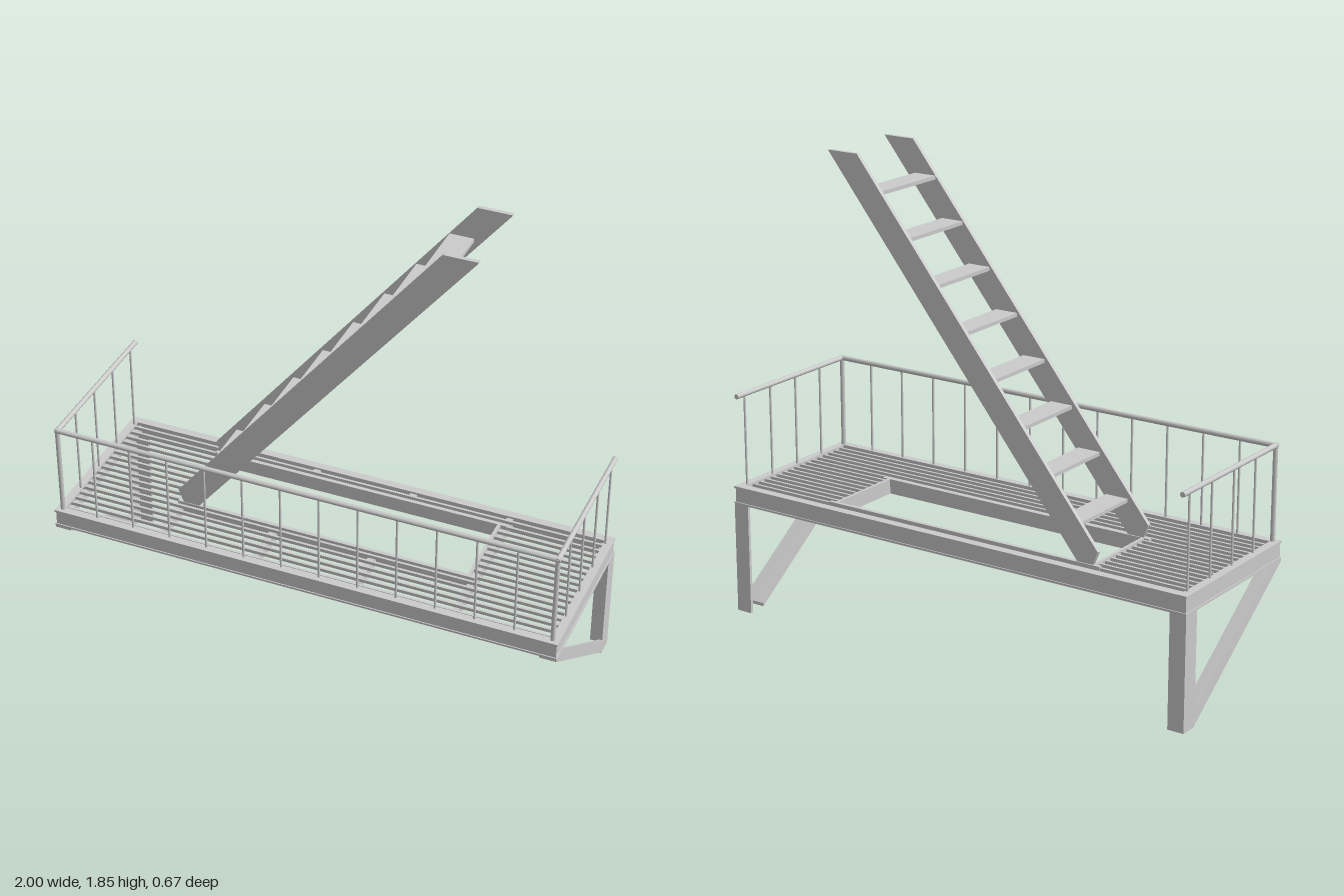
import * as THREE from 'three';

const mat = new THREE.MeshStandardMaterial({ color: 0xcccccc, flatShading: true });
const smooth = new THREE.MeshStandardMaterial({ color: 0xcccccc });

// Box given by its min/max extents on each axis
function box(parent, name, [x0, x1], [y0, y1], [z0, z1]) {
  const m = new THREE.Mesh(new THREE.BoxGeometry(x1 - x0, y1 - y0, z1 - z0), mat);
  m.position.set((x0 + x1) / 2, (y0 + y1) / 2, (z0 + z1) / 2);
  m.name = name;
  parent.add(m);
  return m;
}

// Round bar between two points
function rod(parent, name, a, b, r, sides = 12) {
  const p = new THREE.Vector3(...a), d = new THREE.Vector3(...b).sub(p);
  const m = new THREE.Mesh(new THREE.CylinderGeometry(r, r, d.length(), sides), smooth);
  m.position.copy(p).addScaledVector(d, 0.5);
  m.quaternion.setFromUnitVectors(new THREE.Vector3(0, 1, 0), d.normalize());
  m.name = name;
  parent.add(m);
}

// Flat plate cut from an outline
function plate(parent, name, pts, depth) {
  const shape = new THREE.Shape(pts.map(p => new THREE.Vector2(...p)));
  const geo = new THREE.ExtrudeGeometry(shape, { depth, bevelEnabled: false });
  const m = new THREE.Mesh(geo, mat);
  m.name = name;
  parent.add(m);
  return m;
}

function group(parent, name) {
  const g = new THREE.Group();
  g.name = name;
  parent.add(g);
  return g;
}

// Lower and upper limits in order, mirrored when s is -1
const span = (s, a, b) => (s > 0 ? [a, b] : [-b, -a]);

function createModel() {
  const model = new THREE.Group();
  model.name = 'balconyWithLadder';
  const D = 0.333;

  // Outer frame: channels with top and bottom flanges
  const frame = group(model, 'outerFrame');
  for (const s of [1, -1]) {
    box(frame, 'longWeb', [-0.996, 0.996], [0.443, 0.498], span(s, D - 0.012, D - 0.004));
    box(frame, 'endWeb', span(s, 0.988, 0.996), [0.443, 0.498], [-D + 0.004, D - 0.004]);
    for (const y of [0.435, 0.498]) {
      box(frame, 'longFlange', [-1, 1], [y, y + 0.008], span(s, D - 0.032, D));
      box(frame, 'endFlange', span(s, 0.968, 1), [y, y + 0.008], [-D + 0.032, D - 0.032]);
    }
    box(frame, 'endLedge', span(s, 0.955, 0.968), [0.455, 0.485], [-0.31, 0.31]);
  }

  // Beams across the deck and trim around the hatch opening
  const hatch = group(model, 'hatchFraming');
  const zf = 0.085, zb = -0.25;
  for (const x of [-0.2, 0.2]) {
    box(hatch, 'shortBeam', [x - 0.013, x + 0.013], [0.445, 0.485], [zf, 0.32]);
    box(hatch, 'shortBeam', [x - 0.013, x + 0.013], [0.445, 0.485], [-0.32, zb]);
  }
  for (const s of [1, -1]) {
    box(hatch, 'crossBeam', span(s, 0.578, 0.602), [0.445, 0.485], [-0.32, 0.32]);
    box(hatch, 'hatchEnd', span(s, 0.566, 0.578), [0.445, 0.503], [zb - 0.008, zf + 0.008]);
  }
  for (const z of [zf, zb]) {
    box(hatch, 'hatchSide', [-0.6, 0.6], [0.445, 0.503], [z - 0.008, z + 0.008]);
  }

  // Grating bars, interrupted by the hatch
  const grating = group(model, 'grating');
  for (let i = 0; i < 17; i++) {
    const z = -0.285 + i * 0.0356;
    const bar = (a, b) => box(grating, 'gratingBar', [a, b], [0.485, 0.498], [z - 0.005, z + 0.005]);
    if (z > zb && z < zf) {
      bar(-0.975, -0.575);
      bar(0.575, 0.975);
    } else bar(-0.975, 0.975);
  }

  // Legs and diagonal braces, both of angle section
  for (const s of [1, -1]) {
    const support = group(model, s > 0 ? 'leftSupport' : 'rightSupport');
    box(support, 'legSidePlate', span(s, 0.988, 1), [0, 0.437], [-D, -0.26]);
    box(support, 'legBackPlate', span(s, 0.935, 0.988), [0, 0.437], [-D, -D + 0.012]);
    const brace = (name, pts, depth) => {
      const m = plate(support, name, pts, depth);
      m.rotation.y = -Math.PI / 2;
      m.position.x = s > 0 ? 1 : -1 + depth;
    };
    brace('braceSidePlate', [[-0.26, 0.005], [D, 0.428], [D, 0.436], [0.265, 0.436], [-0.26, 0.065]], 0.012);
    brace('braceFlange', [[-0.26, 0.005], [D, 0.428], [D, 0.436], [0.325, 0.436], [-0.26, 0.018]], 0.065);
  }

  // Railing along the front and both ends
  const railing = group(model, 'railing');
  const rx = 0.975, rz = 0.31, ry = 0.866;
  rod(railing, 'frontHandrail', [-rx - 0.008, ry, rz], [rx + 0.008, ry, rz], 0.01);
  for (let i = 0; i < 12; i++) {
    const x = (i - 5.5) * 0.151;
    rod(railing, 'frontBaluster', [x, 0.5, rz], [x, ry, rz], 0.0045, 8);
  }
  for (const x of [-rx, rx]) {
    rod(railing, 'cornerPost', [x, 0.5, rz], [x, ry, rz], 0.009);
    rod(railing, 'endHandrail', [x, ry, rz + 0.008], [x, ry, -D], 0.01);
    for (let i = 0; i < 4; i++) {
      const z = 0.167 - i * 0.151;
      rod(railing, 'endBaluster', [x, 0.5, z], [x, ry, z], 0.0045, 8);
    }
  }

  // Inclined ladder rising from the hatch
  const ladder = group(model, 'ladder');
  const outline = [[-0.575, 0.505], [-0.51, 0.505], [0.57, 1.845], [0.44, 1.845], [-0.595, 0.555]];
  for (const z of [zf, zb]) {
    plate(ladder, 'stringer', outline, 0.016).position.z = z - 0.008;
  }
  for (let i = 0; i < 8; i++) {
    const x = -0.46 + i * 0.1207, y = 0.632 + i * 0.1543;
    box(ladder, 'tread', [x - 0.046, x + 0.046], [y - 0.007, y + 0.007], [zb + 0.006, zf - 0.006]);
  }
  return model;
}

export { createModel };
